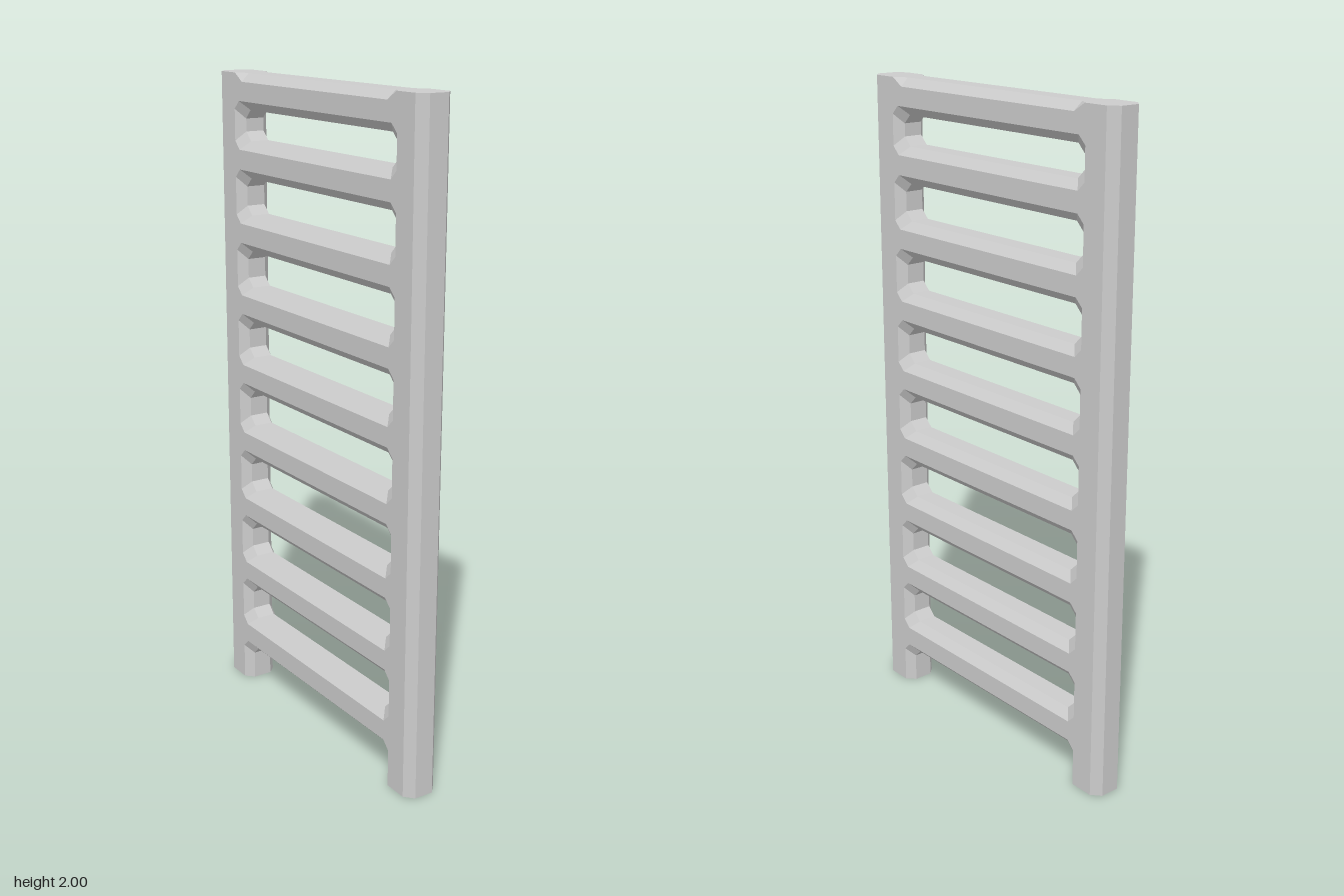
import * as THREE from 'three';

const FACE_X = 0.055; // flat broad faces
const EDGE_X = 0.03;  // start of the chamfers
const END_Z = 0.518;

// Complete a half outline (points at u > 0) by mirroring it
const mirrored = (half) => [...half, ...half.map(([u, v]) => [-u, v]).reverse()];

// Rectangle with cut corners, wound clockwise so its walls face inwards
const slot = (w, y0, y1, c) => mirrored([
  [w - c, y1], [w, y1 - c], [w, y0 + c], [w - c, y0],
]);

// Chamfered plate: 'face' loops on the broad sides, 'edge' loops in the middle
function chamferedPlate(faceLoops, edgeLoops) {
  const positions = [];
  const add = (x, ...points) => points.forEach(([u, v]) => positions.push(x, v, -u));

  // Broad faces
  const [outline, ...holes] = faceLoops.map((l) => l.map(([u, v]) => new THREE.Vector2(u, v)));
  const all = faceLoops.flat();
  for (const [a, b, c] of THREE.ShapeUtils.triangulateShape(outline, holes)) {
    add(FACE_X, all[a], all[b], all[c]);
    add(-FACE_X, all[a], all[c], all[b]);
  }

  // Chamfers and straight walls between neighbouring levels
  const levels = [
    [-FACE_X, faceLoops], [-EDGE_X, edgeLoops], [EDGE_X, edgeLoops], [FACE_X, faceLoops],
  ];
  for (let k = 0; k < 3; k++) {
    const [x0, back] = levels[k];
    const [x1, front] = levels[k + 1];
    back.forEach((loop, l) => loop.forEach((p, i) => {
      const j = (i + 1) % loop.length;
      add(x0, p, loop[j]);
      add(x1, front[l][j]);
      add(x0, p);
      add(x1, front[l][j], front[l][i]);
    }));
  }

  const geometry = new THREE.BufferGeometry();
  geometry.setAttribute('position', new THREE.Float32BufferAttribute(positions, 3));
  geometry.computeVertexNormals();
  return geometry;
}

export function createModel() {
  const group = new THREE.Group();
  group.name = 'ladder';

  // Two posts, open between the feet, with a chamfered top rung
  const faceLoops = [mirrored([
    [0.39, 0.14], [0.415, 0.115], [0.415, 0], [0.49, 0],
    [0.49, 2], [0.41, 2], [0.37, 1.975],
  ])];
  const edgeLoops = [mirrored([
    [0.365, 0.115], [0.39, 0.09], [0.39, 0], [END_Z, 0],
    [END_Z, 2], [0.375, 2], [0.37, 2],
  ])];

  // Openings between the rungs; the top one is shorter
  for (let i = 0; i < 8; i++) {
    const y0 = 0.228 + i * 0.2245;
    const y1 = i === 7 ? 1.892 : y0 + 0.113;
    edgeLoops.push(slot(0.39, y0, y1, 0.027));
    faceLoops.push(slot(0.415, y0 - 0.026, y1 + 0.026, 0.025));
  }

  const frame = new THREE.Mesh(
    chamferedPlate(faceLoops, edgeLoops),
    new THREE.MeshStandardMaterial({ color: 0xcccccc, flatShading: true }),
  );
  frame.name = 'postsAndRungs';
  group.add(frame);
  return group;
}
